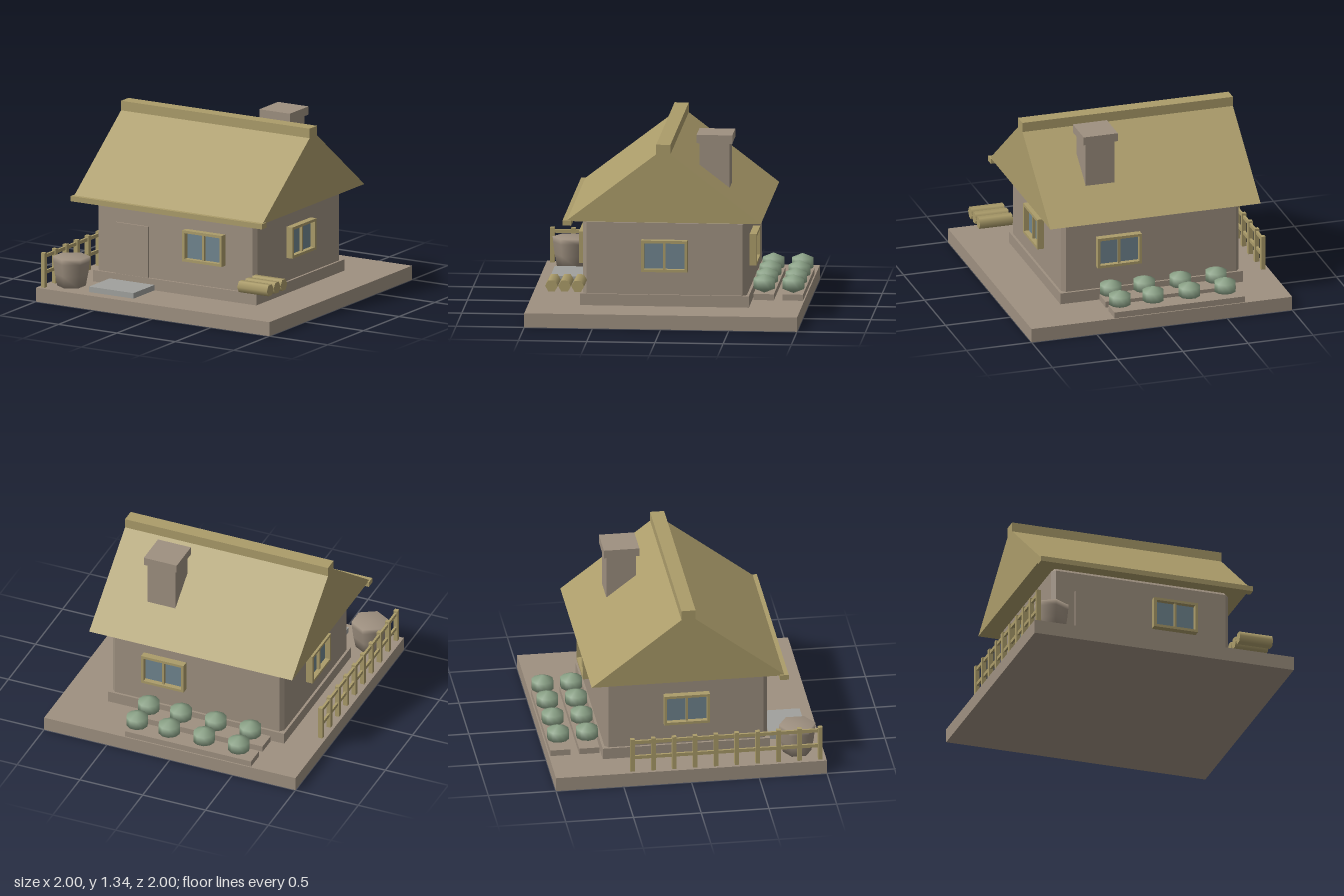
import * as THREE from 'three';
import { ConvexGeometry } from 'three/addons/geometries/ConvexGeometry.js';

const mat = (name, color) => {
  const m = new THREE.MeshStandardMaterial({ color });
  m.name = name;
  return m;
};

export function createModel() {
  const stone = mat('stone', 0x9e9080);
  const straw = mat('straw', 0xab9c6a);
  const glass = mat('glass', 0x70858f);
  const leaf = mat('leaf', 0x8ba287);
  const slate = mat('slate', 0xa0a19d);
  const model = new THREE.Group();
  model.name = 'cottage';

  const add = (name, geometry, material, parent = model) => {
    const mesh = new THREE.Mesh(geometry, material);
    mesh.name = name;
    parent.add(mesh);
    return mesh;
  };
  // Box given by its lower and upper limits on each axis
  const box = (name, material, [x0, x1], [y0, y1], [z0, z1], parent = model) => {
    const m = add(name, new THREE.BoxGeometry(x1 - x0, y1 - y0, z1 - z0), material, parent);
    m.position.set((x0 + x1) / 2, (y0 + y1) / 2, (z0 + z1) / 2);
    return m;
  };

  // Ground and foundation
  box('ground', stone, [-1, 1], [0, 0.105], [-1, 1]);
  box('foundation', stone, [-0.745, 0.655], [0.1, 0.19], [-0.618, 0.618]);

  // Walls with chamfered edges
  const half = [0.682, 0.315, 0.6];
  const chamfer = 0.028;
  const points = [];
  for (const sx of [-1, 1]) for (const sy of [-1, 1]) for (const sz of [-1, 1]) {
    for (let axis = 0; axis < 3; axis++) {
      const p = half.map((h, i) => (i === axis ? h : h - chamfer));
      points.push(new THREE.Vector3(sx * p[0], sy * p[1], sz * p[2]));
    }
  }
  add('walls', new ConvexGeometry(points), stone).position.set(-0.045, 0.435, 0);
  box('door', stone, [-0.555, -0.275], [0.185, 0.575], [0.58, 0.614]);

  // Roof, ridge and front eave
  const gable = new THREE.Shape();
  gable.moveTo(-0.715, 0.75);
  gable.lineTo(0.715, 0.75);
  gable.lineTo(0, 1.298);
  gable.closePath();
  const roof = add('roof',
    new THREE.ExtrudeGeometry(gable, { depth: 1.615, bevelEnabled: false }), straw);
  roof.rotation.y = Math.PI / 2;
  roof.position.x = -0.85;
  box('ridge', straw, [-0.85, 0.765], [1.2, 1.33], [-0.052, 0.052]);
  box('eaveBoard', straw, [-0.862, 0.775], [0.718, 0.757], [0.674, 0.738]);

  // Chimney
  box('chimney', stone, [0.19, 0.41], [0.85, 1.28], [-0.457, -0.237]);
  box('chimneyCap', stone, [0.17, 0.432], [1.28, 1.342], [-0.478, -0.216]);

  // Windows on all four walls
  const rect = (T, w, h) => new T([[-w, -h], [w, -h], [w, h], [-w, h]]
    .map(([x, y]) => new THREE.Vector2(x, y)));
  const frameShape = rect(THREE.Shape, 0.169, 0.117);
  frameShape.holes.push(rect(THREE.Path, 0.149, 0.097));
  const frameGeometry = new THREE.ExtrudeGeometry(frameShape, { depth: 0.056, bevelEnabled: false });
  [
    ['frontWindow', 0.21, 0.596, 0],
    ['backWindow', 0.21, -0.596, Math.PI],
    ['leftWindow', 0.633, 0, Math.PI / 2],
    ['rightWindow', -0.723, 0, -Math.PI / 2],
  ].forEach(([name, x, z, turn]) => {
    const w = new THREE.Group();
    w.name = name;
    w.position.set(x, 0.482, z);
    w.rotation.y = turn;
    add('windowFrame', frameGeometry, straw, w);
    box('windowPane', glass, [-0.15, 0.15], [-0.098, 0.098], [0.01, 0.018], w);
    box('windowBar', straw, [-0.008, 0.008], [-0.098, 0.098], [0.01, 0.04], w);
    model.add(w);
  });

  // Doorstep
  box('doorstep', slate, [-0.6, -0.218], [0.1, 0.146], [0.618, 0.91]);

  // Six-sided tub
  const tub = [[0, 0], [0.105, 0], [0.122, 0.09], [0.133, 0.18], [0.136, 0.22], [0, 0.22]]
    .map(([r, y]) => new THREE.Vector2(r, y));
  add('tub', new THREE.LatheGeometry(tub, 6), stone).position.set(-0.813, 0.105, 0.807);

  // Row of logs against the front corner
  const logGeometry = new THREE.CylinderGeometry(0.047, 0.047, 0.255, 6);
  for (let i = 0; i < 3; i++) {
    const log = add('log', logGeometry, straw);
    log.rotation.z = Math.PI / 2;
    log.position.set(0.763, 0.29, 0.617 + i * 0.096);
  }

  // Fence
  const fence = new THREE.Group();
  fence.name = 'fence';
  model.add(fence);
  for (let i = 0; i < 10; i++) {
    const z = -0.43 + i * 0.154;
    box('fencePost', straw, [-0.975, -0.942], [0.1, 0.365], [z - 0.016, z + 0.016], fence);
  }
  for (const y of [0.215, 0.337]) {
    box('fenceRail', straw, [-0.967, -0.95], [y - 0.013, y + 0.013], [-0.43, 0.956], fence);
  }

  // Garden beds with rounded plants
  const plantGeometry = new THREE.SphereGeometry(0.094, 10, 3);
  plantGeometry.scale(1, 0.75, 1);
  for (const z of [-0.702, -0.915]) {
    box('gardenBed', stone, [-0.642, 0.36], [0.1, 0.15], [z - 0.075, z + 0.075]);
    for (const x of [-0.512, -0.237, 0.04, 0.296]) {
      add('plant', plantGeometry, leaf).position.set(x, 0.22, z);
    }
  }
  return model;
}
